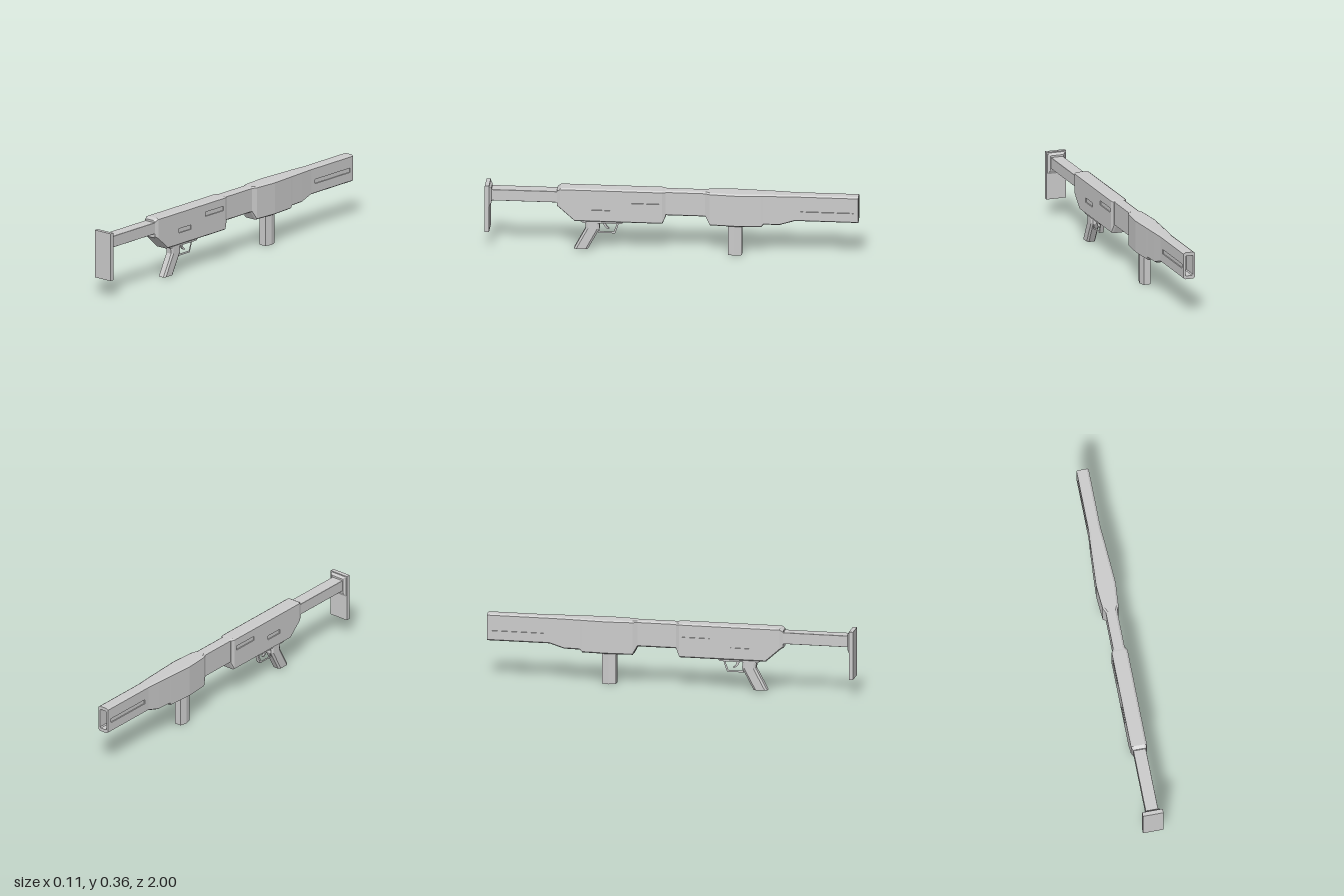
import * as THREE from 'three';

const material = new THREE.MeshStandardMaterial({ color: 0xcccccc, flatShading: true });

function addMesh(group, name, geometry) {
  const mesh = new THREE.Mesh(geometry, material);
  mesh.name = name;
  group.add(mesh);
}

// Skins a row of closed rings and caps both ends.
function loft(rings) {
  const positions = [];
  const tri = (a, b, c) => {
    const area = new THREE.Triangle(a, b, c).getArea();
    if (area > 1e-9) for (const p of [a, b, c]) positions.push(p.x, p.y, p.z);
  };
  const n = rings[0].length;
  for (let i = 0; i < rings.length - 1; i++) {
    for (let j = 0; j < n; j++) {
      const k = (j + 1) % n;
      const a = rings[i][j], b = rings[i][k], c = rings[i + 1][k], d = rings[i + 1][j];
      tri(a, d, c);
      tri(a, c, b);
    }
  }
  const first = rings[0], last = rings[rings.length - 1];
  for (let j = 1; j < n - 1; j++) {
    tri(first[0], first[j], first[j + 1]);
    tri(last[0], last[j + 1], last[j]);
  }
  const geometry = new THREE.BufferGeometry();
  geometry.setAttribute('position', new THREE.Float32BufferAttribute(positions, 3));
  geometry.computeVertexNormals();
  return geometry;
}

// Chamfered box section at z, with an optional groove of given depth in both sides.
function section(z, w, y0, y1, { y = (y0 + y1) / 2, depth = 0, cx = 0.011, cy = 0.007 } = {}) {
  const h = 0.012;
  const right = [
    [w - cx, y0], [w, y0 + cy], [w, y - h], [w - depth, y - h],
    [w - depth, y + h], [w, y + h], [w, y1 - cy], [w - cx, y1],
  ];
  const left = right.map(([x, v]) => [-x, v]).reverse();
  return [...right, ...left].map(([x, v]) => new THREE.Vector3(x, v, z));
}

// Four sections that start and end a side groove abruptly.
function groove(zFrom, zTo, w, y0, y1, y) {
  const cut = (z, depth) => section(z, w, y0, y1, { y, depth });
  return [cut(zFrom, 0), cut(zFrom, 0.006), cut(zTo, 0.006), cut(zTo, 0)];
}

// Horizontal ring for a grip, given one quarter-symmetric outline.
function gripRing(outline, y, z) {
  return outline.map(([x, dz]) => new THREE.Vector3(x, y, z + dz));
}

// Extrudes an outline drawn in (z, y) to a thickness centred on x = 0.
function sidePlate(shape, thickness) {
  const geometry = new THREE.ExtrudeGeometry(shape, { depth: thickness, bevelEnabled: false, curveSegments: 6 });
  return geometry.translate(0, 0, -thickness / 2).rotateY(-Math.PI / 2);
}

const polygon = (points) => points.map(([z, y]) => new THREE.Vector2(z, y));

export function createModel() {
  const model = new THREE.Group();
  model.name = 'launcher';

  // Shoulder plate and its flared collar
  const plate = new THREE.BoxGeometry(0.112, 0.263, 0.023);
  addMesh(model, 'buttPlate', plate.translate(0, 0.2315, 0.9885));
  const sharp = { cx: 0.001, cy: 0.001 };
  addMesh(model, 'buttCollar', loft([
    section(0.98, 0.054, 0.235, 0.361, sharp),
    section(0.966, 0.038, 0.262, 0.345, sharp),
  ]));

  // Stock beam
  addMesh(model, 'stockBeam', loft([
    section(0.975, 0.034, 0.273, 0.335, sharp),
    section(0.6, 0.034, 0.273, 0.335, sharp),
  ]));

  // Receiver with two grooves on each side
  addMesh(model, 'receiver', loft([
    section(0.615, 0.035, 0.25, 0.346, { y: 0.29 }),
    section(0.597, 0.043, 0.239, 0.357, { y: 0.28 }),
    section(0.52, 0.043, 0.17, 0.357, { y: 0.25 }),
    ...groove(0.43, 0.33, 0.043, 0.17, 0.357, 0.25),
    ...groove(0.215, 0.065, 0.043, 0.17, 0.357, 0.295),
    section(0.05, 0.043, 0.17, 0.357),
    section(0.032, 0.034, 0.21, 0.355),
  ]));

  // Neck, swollen handguard and barrel shroud with a hollow muzzle
  addMesh(model, 'barrelShroud', loft([
    section(0.045, 0.031, 0.215, 0.356),
    section(-0.18, 0.031, 0.215, 0.356),
    section(-0.205, 0.043, 0.17, 0.356),
    section(-0.34, 0.053, 0.17, 0.356),
    section(-0.48, 0.045, 0.17, 0.356),
    section(-0.492, 0.044, 0.184, 0.356),
    section(-0.58, 0.039, 0.184, 0.356),
    section(-0.66, 0.033, 0.207, 0.355),
    ...groove(-0.69, -0.975, 0.033, 0.207, 0.355, 0.275),
    section(-1, 0.033, 0.207, 0.355),
    section(-1, 0.022, 0.225, 0.337, { cx: 0.006, cy: 0.005 }),
    section(-0.9, 0.022, 0.225, 0.337, { cx: 0.006, cy: 0.005 }),
  ]));

  // Hexagonal front grip
  const hexagon = [
    [0.03, 0], [0.02, -0.0375], [-0.02, -0.0375],
    [-0.03, 0], [-0.02, 0.0375], [0.02, 0.0375],
  ];
  addMesh(model, 'frontGrip', loft([
    gripRing(hexagon, 0.19, -0.3375),
    gripRing(hexagon, 0, -0.3375),
  ]));

  // Slanted pistol grip
  const octagon = [
    [0.024, 0.025], [0.024, -0.025], [0.016, -0.0375], [-0.016, -0.0375],
    [-0.024, -0.025], [-0.024, 0.025], [-0.016, 0.0375], [0.016, 0.0375],
  ];
  addMesh(model, 'pistolGrip', loft([
    gripRing(octagon, 0.175, 0.43),
    gripRing(octagon, 0.125, 0.425),
    gripRing(octagon, 0.007, 0.488),
  ]));

  // Trigger housing under the receiver
  const housing = new THREE.Shape(polygon([[0.5, 0.175], [0.475, 0.159], [0.27, 0.159], [0.25, 0.175]]));
  addMesh(model, 'triggerHousing', sidePlate(housing, 0.056));

  // Trigger guard loop
  const guard = new THREE.Shape(polygon([[0.4, 0.163], [0.395, 0.098], [0.305, 0.098], [0.282, 0.163]]));
  guard.holes.push(new THREE.Path(polygon([[0.388, 0.157], [0.388, 0.108], [0.312, 0.108], [0.294, 0.157]])));
  addMesh(model, 'triggerGuard', sidePlate(guard, 0.022));

  // Curved trigger
  const trigger = new THREE.Shape();
  trigger.moveTo(0.372, 0.163);
  trigger.quadraticCurveTo(0.368, 0.125, 0.338, 0.118);
  trigger.lineTo(0.336, 0.124);
  trigger.quadraticCurveTo(0.356, 0.134, 0.358, 0.163);
  addMesh(model, 'trigger', sidePlate(trigger, 0.01));

  return model;
}
